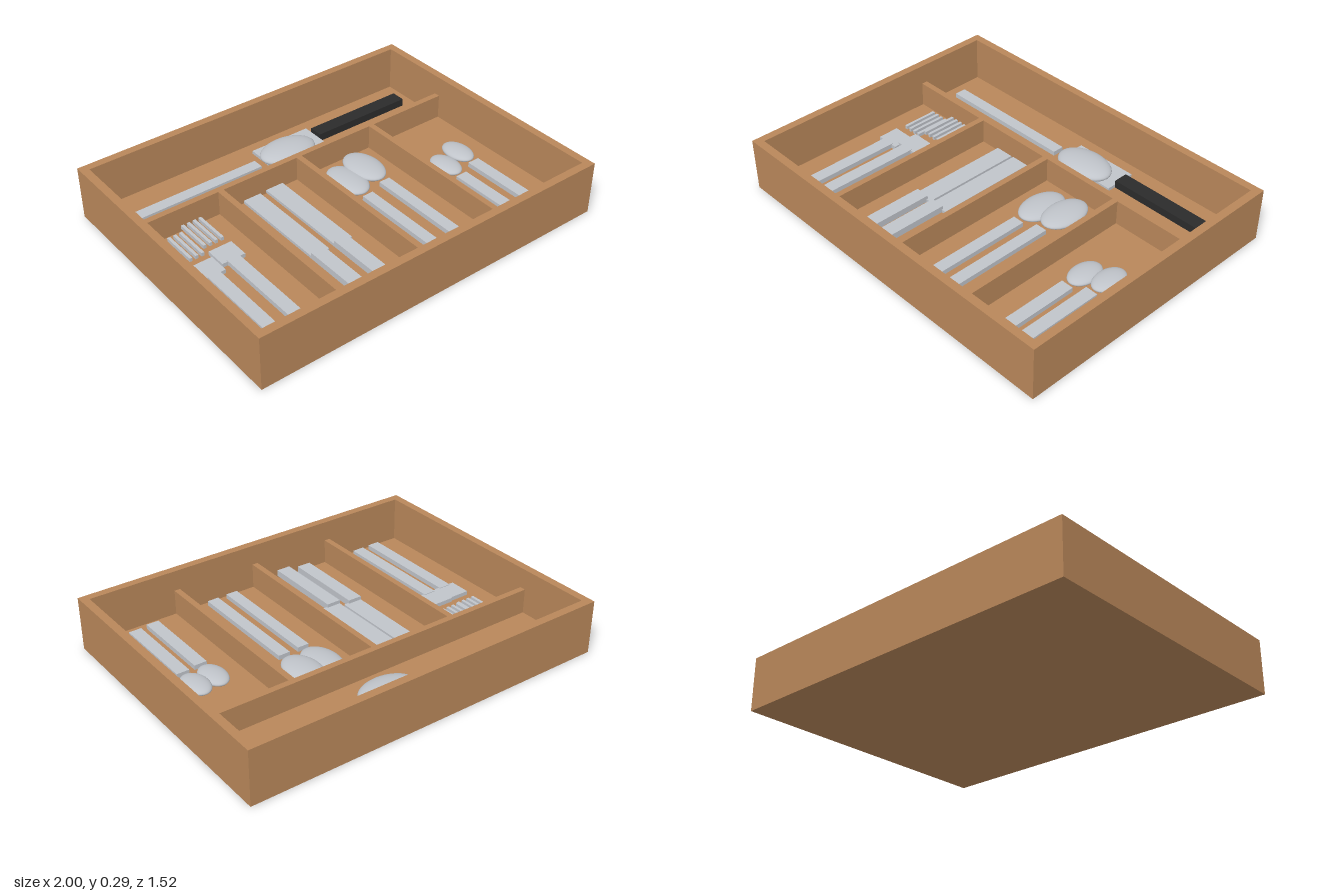
import * as THREE from 'three';

const wood = new THREE.MeshStandardMaterial({ color: 0xb9875a });
const steel = new THREE.MeshStandardMaterial({ color: 0xc0c4ca });
const black = new THREE.MeshStandardMaterial({ color: 0x2b2b2b });

// Box given by its extents on each axis
function box(parent, name, mat, [x0, x1], [y0, y1], [z0, z1]) {
  const mesh = new THREE.Mesh(new THREE.BoxGeometry(x1 - x0, y1 - y0, z1 - z0), mat);
  mesh.position.set((x0 + x1) / 2, (y0 + y1) / 2, (z0 + z1) / 2);
  mesh.name = name;
  parent.add(mesh);
}

// Flattened ellipsoid spoon bowl
function bowl(parent, x, y, z, rx, ry, rz) {
  const mesh = new THREE.Mesh(new THREE.SphereGeometry(1, 32, 20), steel);
  mesh.scale.set(rx, ry, rz);
  mesh.position.set(x, y, z);
  mesh.name = 'bowl';
  parent.add(mesh);
}

function piece(parent, name, x, y, z) {
  const g = new THREE.Group();
  g.name = name;
  g.position.set(x, y, z);
  parent.add(g);
  return g;
}

export function createModel() {
  const model = new THREE.Group();
  model.name = 'cutleryTray';

  const W = 1, D = 0.762, H = 0.29, T = 0.043;   // half width, half depth, height, wall
  const floor = 0.045, divTop = 0.18;

  // Tray shell
  const tray = piece(model, 'tray', 0, 0, 0);
  box(tray, 'floor', wood, [-W, W], [0, floor], [-D, D]);
  for (const s of [-1, 1]) {
    const x = s * (W - T / 2), z = s * (D - T / 2);
    box(tray, 'sideWall', wood, [x - T / 2, x + T / 2], [floor, H], [-D, D]);
    box(tray, s > 0 ? 'frontWall' : 'backWall', wood, [-W + T, W - T], [floor, H], [z - T / 2, z + T / 2]);
  }

  // Dividers
  box(tray, 'crossDivider', wood, [-W + T, W - T], [floor, divTop], [-0.341, -0.308]);
  for (const x of [-0.476, 0, 0.476])
    box(tray, 'divider', wood, [x - 0.016, x + 0.016], [floor, divTop], [-0.308, D - T]);

  // Paired cutlery: the second of each pair lies slightly higher
  for (const i of [0, 1]) {
    const y = floor + i * 0.015;

    const fork = piece(model, 'fork', -0.785 + i * 0.128, y, -i * 0.026);
    box(fork, 'handle', steel, [-0.034, 0.034], [0, 0.025], [0.077, 0.697]);
    box(fork, 'head', steel, [-0.064, 0.064], [0, 0.022], [-0.03, 0.087]);
    for (let k = 0; k < 4; k++) {
      const x = (k - 1.5) * 0.033;
      box(fork, 'tine', steel, [x - 0.008, x + 0.008], [0, 0.02], [-0.282, -0.084]);
    }

    const knife = piece(model, 'knife', -0.348 + i * 0.129, y, i * 0.012);
    box(knife, 'blade', steel, [0, 0.102], [0, 0.016], [-0.308, 0.253]);
    box(knife, 'handle', steel, [0, 0.077], [0, 0.035], [0.245, 0.711]);

    const spoon = piece(model, 'spoon', 0.167 + i * 0.13, y, -i * 0.026);
    bowl(spoon, 0, 0.018, -0.121, 0.091, 0.03, 0.139);
    box(spoon, 'handle', steel, [-0.032, 0.032], [0, 0.025], [0.039, 0.697]);

    const teaspoon = piece(model, 'teaspoon', 0.655 + i * 0.117, y, -i * 0.036);
    bowl(teaspoon, 0, 0.018, 0.086, 0.067, 0.025, 0.1);
    box(teaspoon, 'handle', steel, [-0.034, 0.034], [0, 0.025], [0.202, 0.674]);
  }

  // Large utensils in the rear compartment
  const serving = piece(model, 'servingSpoon', 0, floor, 0);
  box(serving, 'handle', steel, [-0.882, -0.11], [0, 0.025], [-0.552, -0.488]);
  bowl(serving, 0.08, 0.03, -0.52, 0.162, 0.04, 0.11);

  const carving = piece(model, 'carvingKnife', 0, floor, 0);
  box(carving, 'blade', steel, [-0.06, 0.294], [0, 0.018], [-0.643, -0.469]);
  box(carving, 'handle', black, [0.294, 0.88], [0, 0.042], [-0.597, -0.518]);

  return model;
}
